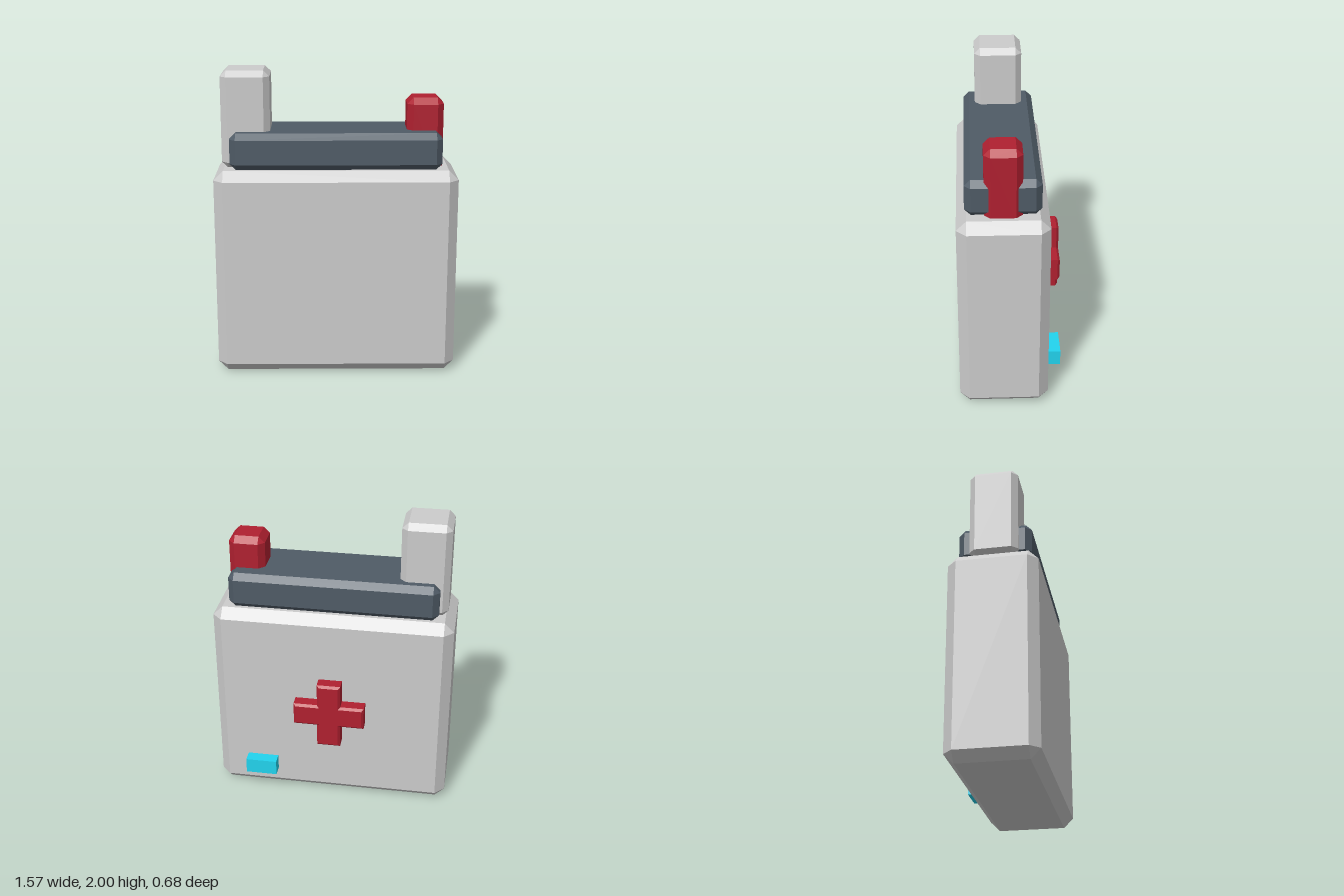
import * as THREE from 'three';
import { ConvexGeometry } from 'three/addons/geometries/ConvexGeometry.js';

const material = (color) => new THREE.MeshStandardMaterial({ color, flatShading: true });

// Box with every edge cut at 45 degrees, given by its two extreme corners
function chamferBox(min, max, c) {
  const size = min.map((v, i) => (max[i] - v) / 2);
  const mid = min.map((v, i) => (max[i] + v) / 2);
  const points = [];
  for (const sx of [-1, 1]) for (const sy of [-1, 1]) for (const sz of [-1, 1]) {
    const s = [sx, sy, sz];
    for (let axis = 0; axis < 3; axis++) {
      points.push(new THREE.Vector3(
        ...s.map((sign, i) => mid[i] + sign * (size[i] - (i === axis ? 0 : c)))));
    }
  }
  return new ConvexGeometry(points);
}

// Plus-shaped slab with bevelled rims, centred on the origin in x and y
function crossGeometry(reach, half, depth, bevel) {
  const r = reach - bevel, h = half - bevel;
  const outline = [
    [h, h], [h, r], [-h, r], [-h, h], [-r, h], [-r, -h],
    [-h, -h], [-h, -r], [h, -r], [h, -h], [r, -h], [r, h],
  ].map(([x, y]) => new THREE.Vector2(x, y));
  const geometry = new THREE.ExtrudeGeometry(new THREE.Shape(outline), {
    depth: depth - 2 * bevel, bevelEnabled: true,
    bevelThickness: bevel, bevelSize: bevel, bevelSegments: 1,
  });
  return geometry.translate(0, 0, bevel);
}

export function createModel() {
  const group = new THREE.Group();
  const grey = material(0xcccccc);
  const slate = material(0x4f5b66);
  const red = material(0xb02030);
  const cyan = material(0x22d3ee);

  const add = (name, geometry, mat) => {
    const mesh = new THREE.Mesh(geometry, mat);
    mesh.name = name;
    group.add(mesh);
    return mesh;
  };

  // Main case and the dark cap on top
  add('body', chamferBox([-0.787, 0, -0.237], [0.787, 1.372, 0.34], 0.063), grey);
  add('cap', chamferBox([-0.682, 1.37, -0.185], [0.682, 1.61, 0.288], 0.04), slate);

  // Tall post and short red post standing in the cap
  add('tallPost', chamferBox([-0.738, 1.37, -0.106], [-0.423, 2, 0.209], 0.039), grey);
  add('shortPost', chamferBox([0.459, 1.3, -0.067], [0.694, 1.818, 0.169], 0.04), red);

  // Raised cross and status light on the back
  const cross = add('cross', crossGeometry(0.235, 0.078, 0.103, 0.015), red);
  cross.position.set(0, 0.688, -0.34);
  const light = add('statusLight', new THREE.BoxGeometry(0.21, 0.105, 0.079), cyan);
  light.position.set(0.472, 0.215, -0.288);

  return group;
}
